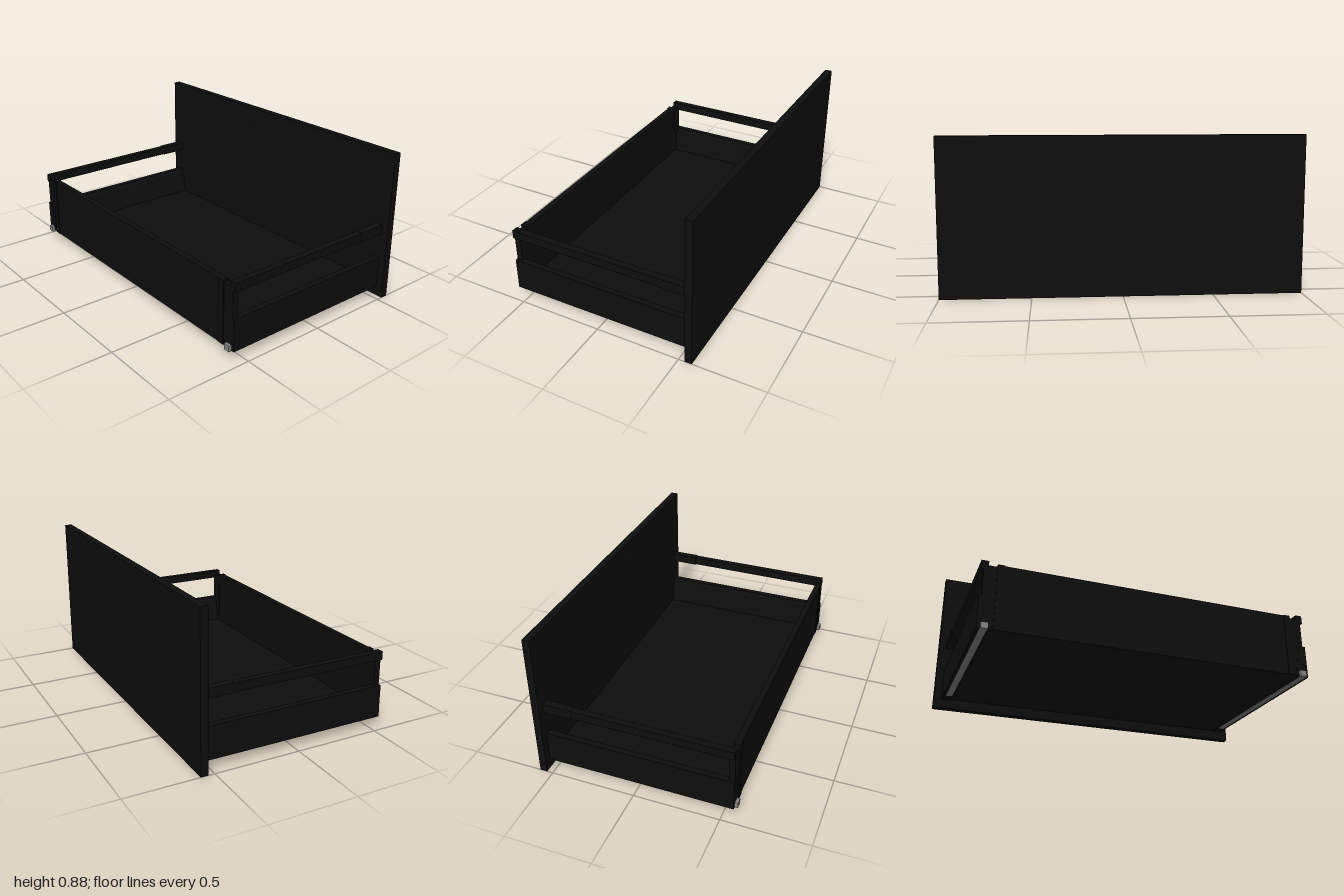
import * as THREE from 'three';

const black = new THREE.MeshStandardMaterial({ color: 0x0e0e0e });
const steel = new THREE.MeshStandardMaterial({ color: 0x888888 });

// Box given by its extents along each axis
function box(name, [x0, x1], [y0, y1], [z0, z1], material = black) {
  const mesh = new THREE.Mesh(new THREE.BoxGeometry(x1 - x0, y1 - y0, z1 - z0), material);
  mesh.position.set((x0 + x1) / 2, (y0 + y1) / 2, (z0 + z1) / 2);
  mesh.name = name;
  return mesh;
}

// Extents across z, mirrored for the side s = 1 or -1
const across = (s, inner, outer) => (s > 0 ? [inner, outer] : [-outer, -inner]);

// Low side wall: upright outside, sloping inside face with a foot under the floor
function sideWall(s) {
  const profile = [[0.955, 0.055], [0.955, 0.245], [0.92, 0.245], [0.91, 0.225], [0.885, 0.08], [0.885, 0.062], [0.9, 0.062], [0.9, 0.055]];
  const shape = new THREE.Shape(profile.map(([z, y]) => new THREE.Vector2(-s * z, y)));
  const geometry = new THREE.ExtrudeGeometry(shape, { depth: 1.095, bevelEnabled: false });
  geometry.rotateY(Math.PI / 2);
  geometry.translate(-0.56, 0, 0);
  const mesh = new THREE.Mesh(geometry, black);
  mesh.name = 'sideWall';
  return mesh;
}

export function createModel() {
  const drawer = new THREE.Group();
  drawer.name = 'drawer';

  // Large panels
  drawer.add(
    box('facePanel', [0.535, 0.578], [0, 0.885], [-1, 1]),
    box('floor', [-0.56, 0.535], [0.06, 0.08], [-0.89, 0.89]),
    box('rearWall', [-0.56, -0.525], [0.062, 0.43], [-0.87, 0.87]),
  );

  for (const s of [1, -1]) {
    const side = new THREE.Group();
    side.name = s > 0 ? 'leftSide' : 'rightSide';
    side.add(sideWall(s));

    // Upper rail with a thicker sleeve at the face panel
    side.add(box('rail', [-0.557, 0.535], [0.397, 0.446], across(s, 0.915, 0.955)));
    side.add(box('railSleeve', [0.365, 0.535], [0.394, 0.449], across(s, 0.912, 0.957)));

    // Rear corner bracket and its plate on the rear wall
    side.add(box('rearBracket', [-0.558, -0.524], [0.06, 0.42], across(s, 0.86, 0.94)));
    side.add(box('bracketPlate', [-0.564, -0.558], [0.06, 0.432], across(s, 0.83, 0.87)));

    // Metal runner under the side with its rear catch
    side.add(box('runner', [-0.565, 0.455], [0.053, 0.06], across(s, 0.9, 0.938), steel));
    side.add(box('runnerCatch', [-0.578, -0.559], [0.053, 0.088], across(s, 0.898, 0.936), steel));

    // Small screw head on the inside of the face panel
    const screw = new THREE.Mesh(new THREE.CylinderGeometry(0.006, 0.006, 0.006, 16), black);
    screw.name = 'screwHead';
    screw.rotation.z = Math.PI / 2;
    screw.position.set(0.533, 0.78, s * 0.175);
    side.add(screw);
    drawer.add(side);
  }
  return drawer;
}
